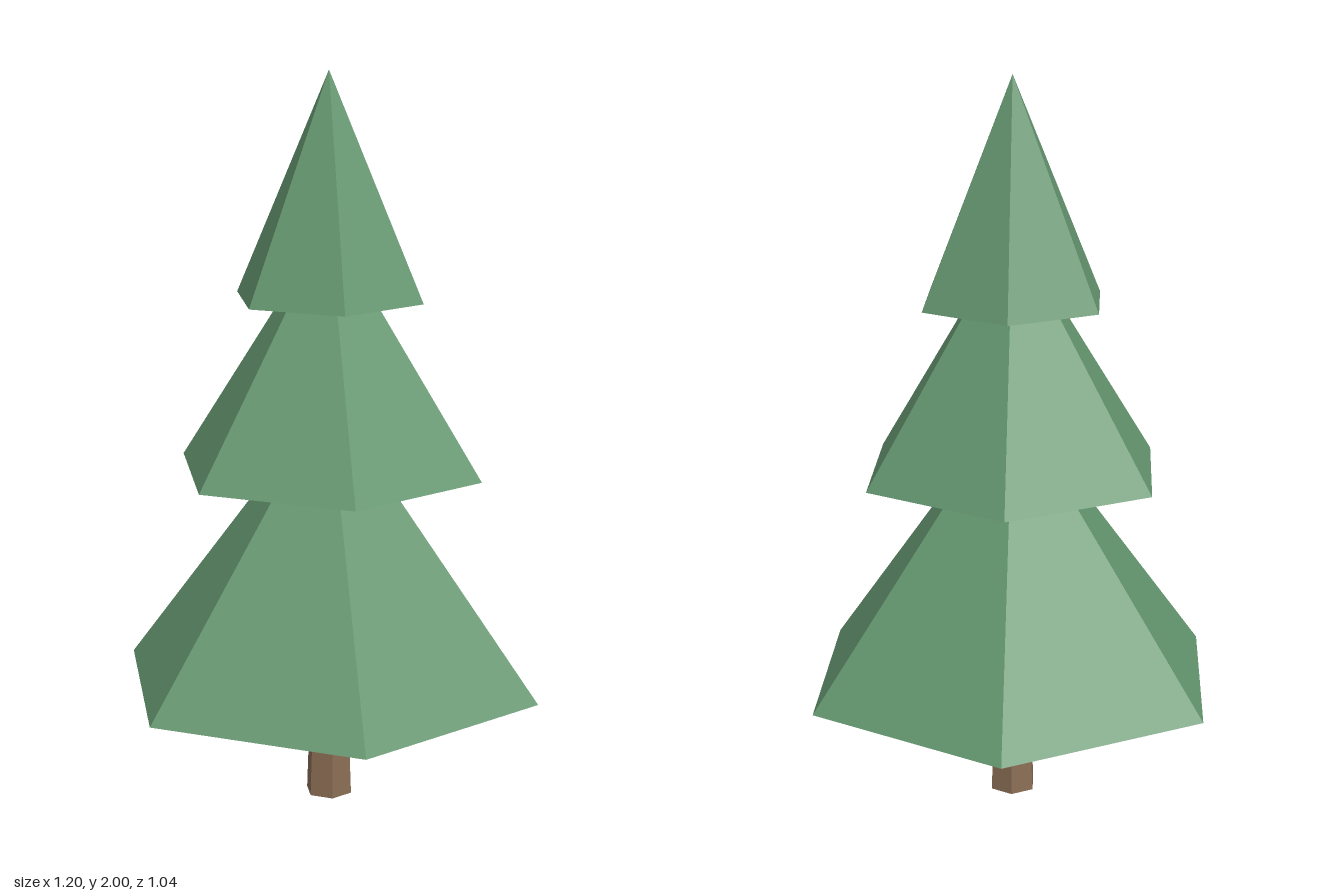
import * as THREE from 'three';

const SIDES = 6;
const TURN = Math.PI / 6; // puts hexagon corners on the x axis

export function createModel() {
  const tree = new THREE.Group();
  tree.name = 'pineTree';

  const needles = new THREE.MeshStandardMaterial({ color: 0x64966f, flatShading: true });
  needles.name = 'needle green';
  const bark = new THREE.MeshStandardMaterial({ color: 0x8a6e54, flatShading: true });
  bark.name = 'bark brown';

  // Adds a six-sided tapered part standing on the given height
  function addPart(name, topRadius, bottomRadius, bottom, top, material) {
    const height = top - bottom;
    const geometry = new THREE.CylinderGeometry(topRadius, bottomRadius, height, SIDES, 1, false, TURN);
    geometry.translate(0, bottom + height / 2, 0);
    const mesh = new THREE.Mesh(geometry, material);
    mesh.name = name;
    tree.add(mesh);
  }

  // Tapered trunk
  addPart('trunk', 0.053, 0.066, 0, 0.345, bark);

  // Three overlapping tiers of branches
  addPart('lowerBranches', 0, 0.6, 0.336, 1.136, needles);
  addPart('middleBranches', 0, 0.432, 0.936, 1.602, needles);
  addPart('topBranches', 0, 0.265, 1.402, 2, needles);

  return tree;
}
